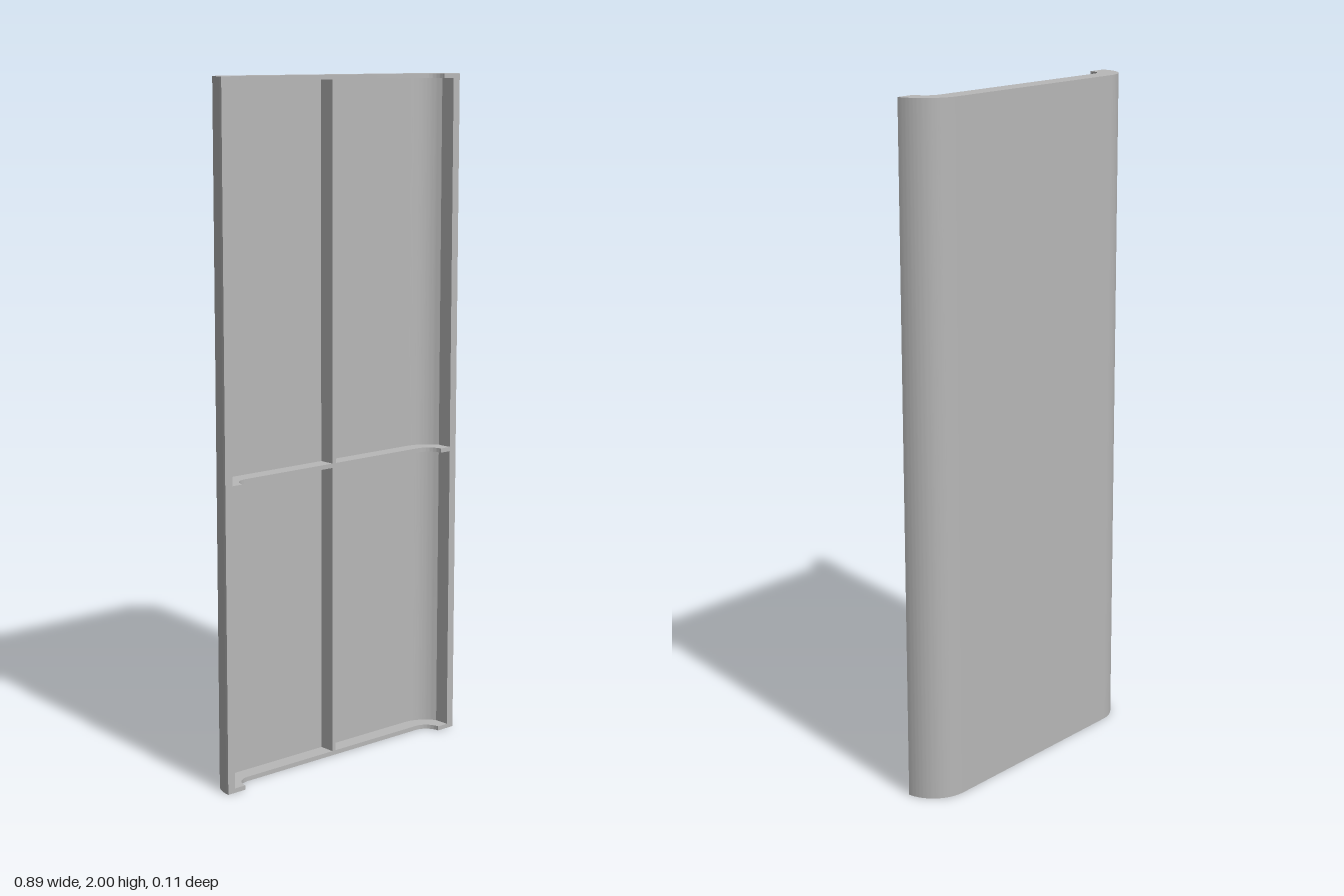
import * as THREE from 'three';
import { toCreasedNormals } from 'three/addons/utils/BufferGeometryUtils.js';

const H = 2;            // panel height
const CX = 0.334;       // corner arc centre, x
const CZ = 0.0555;      // corner arc centre, z (also the front plane)
const R = 0.111;        // outer corner radius
const SKIN = 0.013;     // skin thickness
const RIB = 0.013;      // rib thickness
const R_RIB = 0.049;    // inner corner radius of the ribs
const X_RAIL = 0.42;    // inner face of the edge rails

// Plan outline drawn as (x, -z): a flat back bending forward at both sides
function channel(rOut, rIn) {
  const s = new THREE.Shape();
  s.moveTo(CX + rOut, -CZ);
  s.absarc(CX, -CZ, rOut, 0, Math.PI / 2, false);
  s.absarc(-CX, -CZ, rOut, Math.PI / 2, Math.PI, false);
  s.lineTo(-CX - rIn, -CZ);
  s.absarc(-CX, -CZ, rIn, Math.PI, Math.PI / 2, true);
  s.absarc(CX, -CZ, rIn, Math.PI / 2, 0, true);
  s.closePath();
  return s;
}

// Sliver between the flat rail face and the inside of the curved skin
function railShape(side) {
  const r = R - SKIN;
  const a = Math.acos((X_RAIL - CX) / r);
  const s = new THREE.Shape();
  s.moveTo(side * X_RAIL, -CZ);
  s.lineTo(side * (CX + r), -CZ);
  if (side > 0) s.absarc(CX, -CZ, r, 0, a, false);
  else s.absarc(-CX, -CZ, r, Math.PI, Math.PI - a, true);
  s.closePath();
  return s;
}

export function createModel() {
  const group = new THREE.Group();
  group.name = 'ribbedPanel';
  const grey = new THREE.MeshStandardMaterial({ color: 0xb8b8b8 });
  grey.name = 'grey';

  // Extrude a plan outline upwards from y0 to y1
  function rise(name, shape, y0, y1) {
    const geo = new THREE.ExtrudeGeometry(shape, { depth: y1 - y0, bevelEnabled: false, curveSegments: 16 });
    geo.rotateX(-Math.PI / 2);
    geo.translate(0, y0, 0);
    const mesh = new THREE.Mesh(toCreasedNormals(geo, 0.4), grey);
    mesh.name = name;
    group.add(mesh);
  }

  // Curved outer skin
  rise('skin', channel(R, R - SKIN), 0, H);

  // Horizontal ribs: bottom, middle, top
  const ribs = [['bottomRib', 0], ['middleRib', 0.875], ['topRib', H - RIB]];
  for (const [name, y] of ribs) rise(name, channel(R - SKIN, R_RIB), y, y + RIB);

  // Edge rails and centre stiffener in each bay between ribs
  const zBack = CZ - R + SKIN;
  const zFront = CZ - R_RIB;
  for (let i = 0; i < 2; i++) {
    const y0 = ribs[i][1] + RIB;
    const y1 = ribs[i + 1][1];
    const bay = i === 0 ? 'lower' : 'upper';
    rise(bay + 'LeftRail', railShape(1), y0, y1);
    rise(bay + 'RightRail', railShape(-1), y0, y1);

    const stiffener = new THREE.Mesh(new THREE.BoxGeometry(RIB, y1 - y0, zFront - zBack), grey);
    stiffener.name = bay + 'Stiffener';
    stiffener.position.set(-0.003, (y0 + y1) / 2, (zFront + zBack) / 2);
    group.add(stiffener);
  }
  return group;
}
